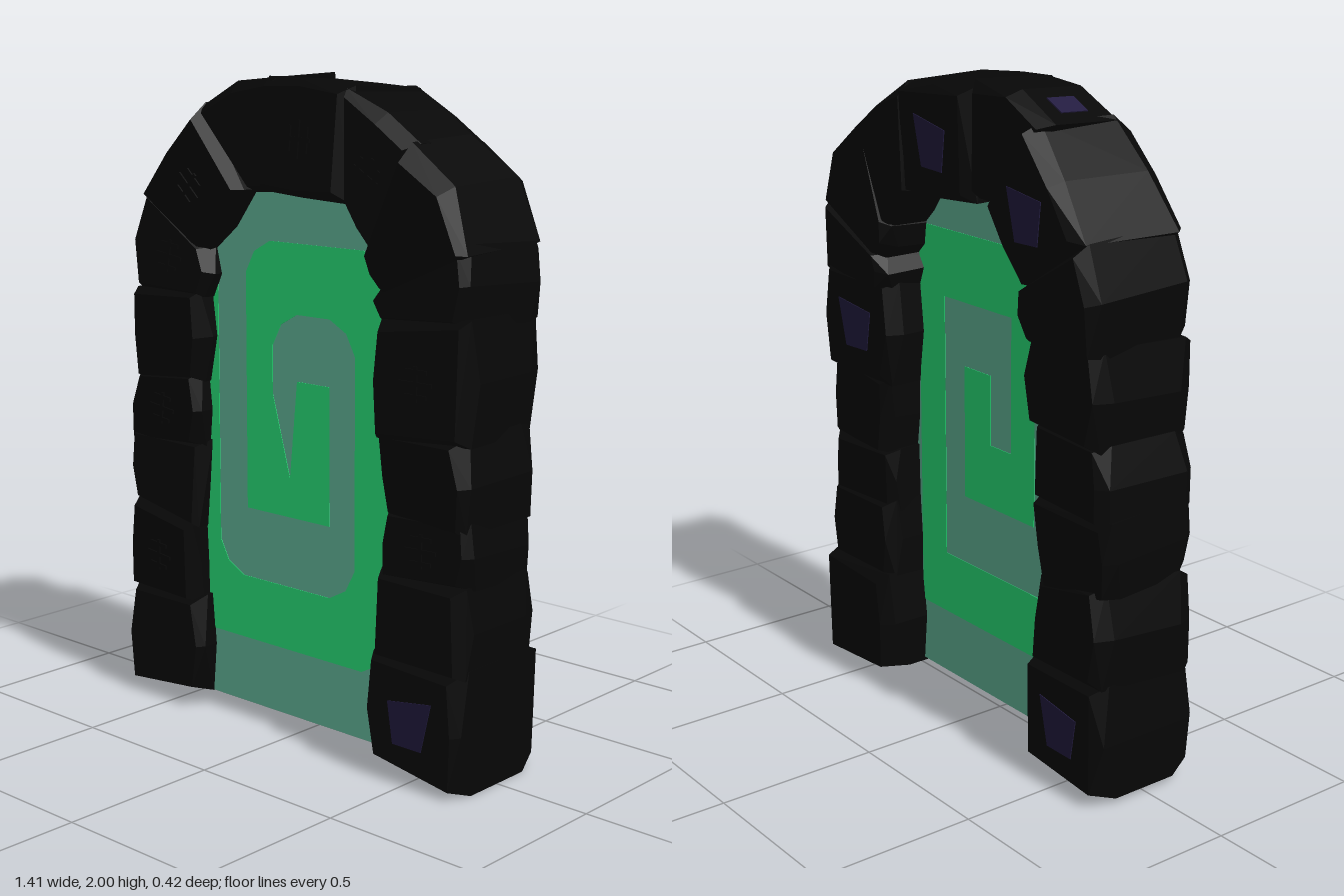
import * as THREE from 'three';
import { ConvexGeometry } from 'three/addons/geometries/ConvexGeometry.js';

const paint = (color) => new THREE.MeshStandardMaterial({ color, flatShading: true });
const STONE = paint(0x070707), PURPLE = paint(0x231c40), TEAL = paint(0x67be9f), GREEN = paint(0x2ae97e);

// Joints along the arch: outer x, y, inner x, y, then bulge, front and back depth of the stone that follows
const JOINTS = [
  [-0.69, 0.03, -0.37, 0.06, 0.012, 0.175, 0.2], [-0.68, 0.36, -0.37, 0.36, 0.02, 0.175, 0.18],
  [-0.67, 0.64, -0.39, 0.6, 0.015, 0.165, 0.175], [-0.68, 0.85, -0.37, 0.86, 0.015, 0.165, 0.175],
  [-0.65, 1.06, -0.37, 1.07, 0.02, 0.175, 0.19], [-0.64, 1.33, -0.35, 1.33, 0.03, 0.17, 0.21],
  [-0.6, 1.62, -0.34, 1.46, 0.01, 0.175, 0.195], [-0.37, 1.9, -0.16, 1.66, 0.035, 0.145, 0.175],
  [-0.08, 1.99, -0.09, 1.66, 0, 0.17, 0.19], [0.25, 1.96, 0.23, 1.63, 0.01, 0.165, 0.19],
  [0.47, 1.82, 0.33, 1.5, 0.06, 0.19, 0.195], [0.67, 1.55, 0.37, 1.41, 0.01, 0.165, 0.185],
  [0.68, 1.35, 0.36, 1.32, 0.012, 0.195, 0.18], [0.68, 1.02, 0.37, 1.01, 0.018, 0.165, 0.16],
  [0.68, 0.77, 0.38, 0.78, 0.01, 0.165, 0.16], [0.68, 0.6, 0.37, 0.6, 0.01, 0.185, 0.17],
  [0.69, 0.36, 0.365, 0.36, 0, 0.2, 0.2], [0.69, 0.012, 0.36, 0.05],
];

function add(group, name, geometry, material) {
  const mesh = new THREE.Mesh(geometry, material);
  mesh.name = name;
  group.add(mesh);
  return mesh;
}

// Outline about its own centre and depths of the stone between joint i and the next
function stoneAt(i) {
  const [ax, ay, bx, by, bulge, front, back] = JOINTS[i];
  const [cx, cy, dx, dy] = JOINTS[i + 1];
  const length = Math.hypot(cx - ax, cy - ay);
  const tx = (cx - ax) / length, ty = (cy - ay) / length;
  const x = (ax + bx + cx + dx) / 4, y = (ay + by + cy + dy) / 4;
  // neighbours overlap a little along the arch; the inner side swells unevenly
  const lap = 0.012, swell = 0.014 - 0.014 * Math.sin(i);
  const outline = [
    [ax - tx * lap, ay - ty * lap], [(ax + cx) / 2 - ty * bulge, (ay + cy) / 2 + tx * bulge],
    [cx + tx * lap, cy + ty * lap], [dx + tx * lap, dy + ty * lap],
    [(bx + dx) / 2 + ty * swell, (by + dy) / 2 - tx * swell], [bx - tx * lap, by - ty * lap],
  ].map(([px, py]) => [px - x, py - y]);
  return { outline, x, y, front, back, tilt: Math.atan2(tx, -ty) };
}

// Rough block: full outline at its shoulders, smaller faces in front and behind
function stoneGeometry({ outline, y, front, back }, seed) {
  const points = [];
  outline.forEach(([px, py], i) => {
    const wobble = 0.05 * Math.sin(seed * 2.3 + i * 1.9);
    const shoulder = (y + py < 0.1 ? 0.58 : 0.76) + wobble * 2;
    for (const z of [front, -back]) {
      const shrink = 0.85 + wobble * Math.sign(z);
      points.push(new THREE.Vector3(px, py, z * shoulder), new THREE.Vector3(px * shrink, py * shrink, z));
    }
  });
  return new ConvexGeometry(points);
}

// Thin plate with corners [x, y], centred on depth z
function plate(points, z, depth) {
  const shape = new THREE.Shape(points.map(([x, y]) => new THREE.Vector2(x, y)));
  return new THREE.ExtrudeGeometry(shape, { depth, bevelEnabled: false }).translate(0, 0, z - depth / 2);
}

// Spiral band outline; marked corners are cut by c, and tip closes the inner end
function spiral(c, tip) {
  const corners = [
    [-0.42, 1.45], [-0.42, 0.26], [0.36, 0.26, 1], [0.36, 1.51, 1], [-0.21, 1.51, 1], [-0.21, 0.68],
    [0.13, 0.68], [0.13, 1.1], [0, 1.1], ...tip, [-0.1, 1.3, 1], [0.23, 1.3, 1],
    [0.23, 0.46, 1], [-0.33, 0.46, 1], [-0.33, 1.45],
  ];
  return corners.flatMap(([x, y, cut], i) => {
    if (!cut || !c) return [[x, y]];
    const toward = ([px, py]) => {
      const d = Math.hypot(px - x, py - y);
      return [x + ((px - x) * c) / d, y + ((py - y) * c) / d];
    };
    const a = toward(corners[i - 1]), b = toward(corners[i + 1]);
    const mid = [(a[0] + b[0]) * 0.35 + x * 0.3, (a[1] + b[1]) * 0.35 + y * 0.3];
    return [a, mid, b];
  });
}

// Raised strokes on a stone front
function makeCarving() {
  const carving = new THREE.Group();
  carving.name = 'carving';
  for (const dx of [-0.035, 0, 0.035]) {
    add(carving, 'stroke', new THREE.BoxGeometry(0.012, 0.11 - Math.abs(dx), 0.01), STONE).position.x = dx;
  }
  add(carving, 'crossStroke', new THREE.BoxGeometry(0.1, 0.012, 0.01), STONE);
  return carving;
}

export function createModel() {
  const model = new THREE.Group();
  model.name = 'stonePortal';

  // Stone arch, each block turned slightly; the two base stones stay level
  const stones = JOINTS.slice(1).map((_, i) => {
    const stone = stoneAt(i);
    const group = new THREE.Group();
    group.name = 'archStone';
    group.position.set(stone.x, stone.y, 0);
    if (stone.y > 0.25) {
      group.rotation.set(0.05 * Math.sin(i * 2.1), 0.06 * Math.sin(i * 3.7 + 1), 0.04 * Math.sin(i * 5));
    }
    add(group, 'block', stoneGeometry(stone, i), STONE);
    model.add(group);
    return { ...stone, group };
  });

  // Glowing portal with a spiral on each side
  const pane = [[-0.42, 0.05], [0.42, 0.05], [0.42, 1.4], [0.26, 1.72], [-0.18, 1.75], [-0.42, 1.5]];
  add(model, 'portalPane', plate(pane, 0.0325, 0.135), TEAL);
  add(model, 'frontSpiral', plate(spiral(0.1, [[-0.03, 0.8], [-0.1, 1.05]]), 0.1, 0.003), GREEN);
  add(model, 'backSpiral', plate(spiral(0, [[0, 0.88], [-0.1, 0.88]]), -0.035, 0.003), GREEN);

  // Purple patches: stone number and side
  const quad = [[-0.08, 0.05], [0.08, 0.075], [0.045, -0.075], [-0.06, -0.075]];
  for (const [i, side] of [[16, 1], [0, -1], [6, -1], [8, -1], [12, -1]]) {
    const { group, front, back } = stones[i];
    add(group, 'purplePatch', plate(quad, side > 0 ? front : -back, 0.005), PURPLE);
  }

  // Patch on the sloping top of the right crown stone
  const { group: crown, outline: [a, b] } = stones[7];
  const topPatch = add(crown, 'topPatch', new THREE.BoxGeometry(0.07, 0.006, 0.1), PURPLE);
  topPatch.position.set((a[0] + b[0]) / 2, (a[1] + b[1]) / 2, -0.02);
  topPatch.rotation.z = Math.atan2(b[1] - a[1], b[0] - a[0]);

  // Carvings on some stone fronts
  for (const i of [1, 3, 5, 6, 8, 9, 12, 14]) {
    const { group, front, tilt } = stones[i];
    const carving = makeCarving();
    carving.position.z = front;
    carving.rotation.z = tilt - Math.PI / 2;
    group.add(carving);
  }
  return model;
}
